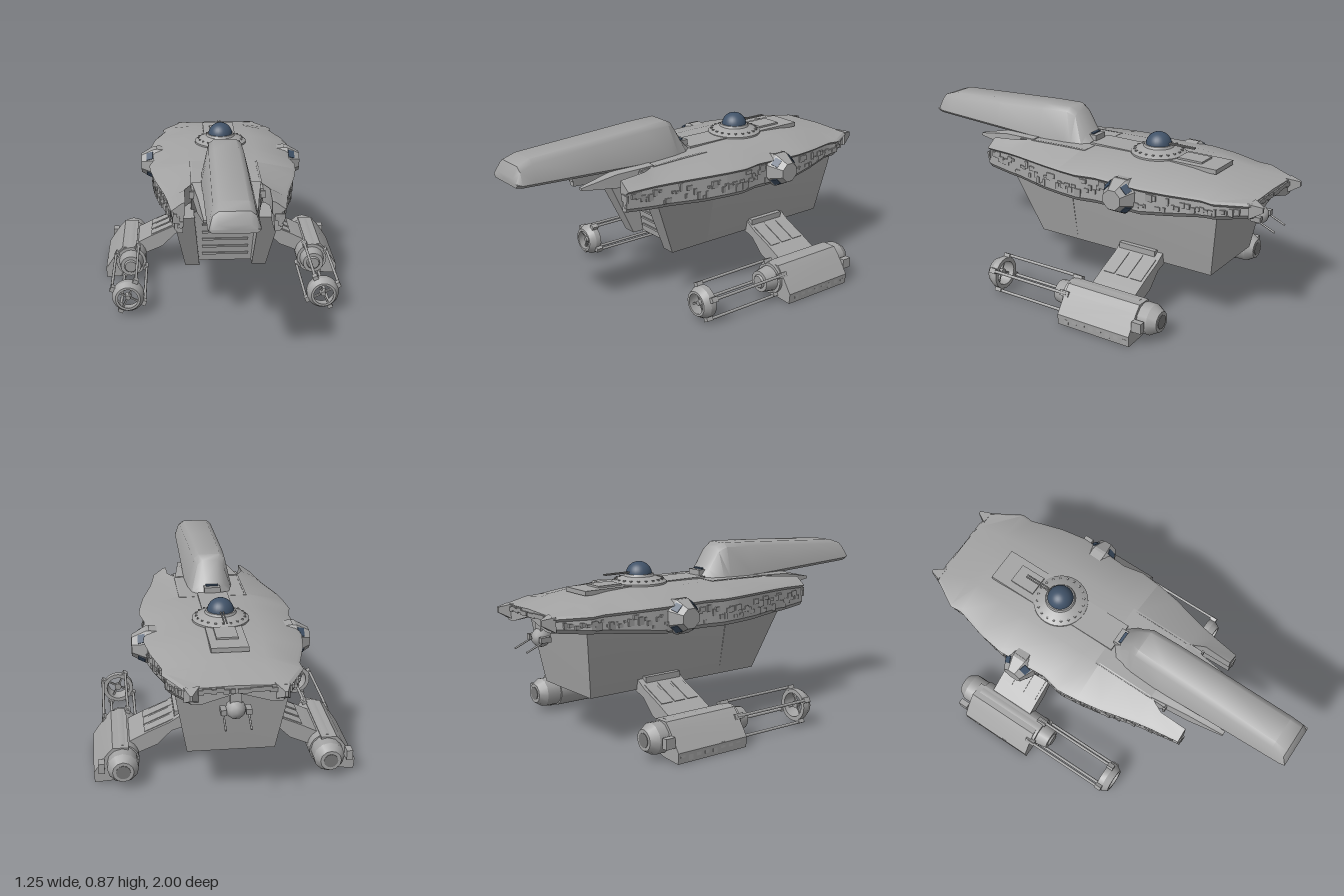
import * as THREE from 'three';
import { toCreasedNormals } from 'three/addons/utils/BufferGeometryUtils.js';

const mat = (name, color) => Object.assign(new THREE.MeshStandardMaterial({ color }), { name });

// Skin through closed rings of [x, y, z] points, capped at both ends and turned outward
function loft(rings, crease = 0.5) {
  const tris = [], n = rings[0].length;
  const mid = r => r.reduce((a, p) => a.map((v, i) => v + p[i] / n), [0, 0, 0]);
  for (let i = 0; i + 1 < rings.length; i++)
    for (let j = 0; j < n; j++) {
      const k = (j + 1) % n, a = rings[i], b = rings[i + 1];
      tris.push([a[j], a[k], b[k]], [a[j], b[k], b[j]]);
    }
  const first = rings[0], last = rings[rings.length - 1], c0 = mid(first), c1 = mid(last);
  for (let j = 0; j < n; j++) {
    const k = (j + 1) % n;
    tris.push([c0, first[k], first[j]], [c1, last[j], last[k]]);
  }
  const V = p => new THREE.Vector3(...p);
  const vol = tris.reduce((s, [a, b, c]) => s + V(a).dot(V(b).cross(V(c))), 0);
  const pos = tris.flatMap(([a, b, c]) => (vol > 0 ? [a, b, c] : [a, c, b]).flat());
  const g = new THREE.BufferGeometry();
  g.setAttribute('position', new THREE.Float32BufferAttribute(pos, 3));
  return toCreasedNormals(g, crease);
}
const prismZ = (pts, z0, z1) => loft([z0, z1].map(z => pts.map(([x, y]) => [x, y, z])));
const prismX = (pts, x0, x1) => loft([x0, x1].map(x => pts.map(([z, y]) => [x, y, z])));
// Tube, cone or drum along z between z0 and z1
const drumZ = (r0, r1, z0, z1, n = 16) =>
  new THREE.CylinderGeometry(r1, r0, z1 - z0, n).rotateX(Math.PI / 2).translate(0, 0, (z0 + z1) / 2);

// Hull stations: z, deck y, shoulder x, edge x, lip y, keel edge y
const STATIONS = [
  [-0.95, 0.65, 0.12, 0.225, 0.635, 0.57], [-0.8, 0.675, 0.14, 0.31, 0.642, 0.56],
  [-0.74, 0.685, 0.15, 0.305, 0.645, 0.555], [-0.58, 0.705, 0.16, 0.35, 0.652, 0.54],
  [-0.45, 0.712, 0.17, 0.37, 0.655, 0.525], [-0.2, 0.712, 0.17, 0.355, 0.655, 0.52],
  [-0.1, 0.71, 0.17, 0.375, 0.655, 0.52], [0, 0.707, 0.17, 0.365, 0.655, 0.52],
  [0.12, 0.705, 0.17, 0.345, 0.655, 0.52], [0.3, 0.7, 0.17, 0.3, 0.65, 0.525],
  [0.38, 0.695, 0.18, 0.285, 0.648, 0.525], [0.52, 0.682, 0.215, 0.265, 0.642, 0.535]];
const edgeAt = z => {
  const i = Math.max(1, STATIONS.findIndex(s => s[0] >= z));
  const a = STATIONS[i - 1], b = STATIONS[i], t = (z - a[0]) / (b[0] - a[0]);
  return a.map((v, k) => v + (b[k] - v) * t);
};
const halfRing = ([z, top, sh, e, lip, bot], x0) => {
  const under = Math.min(bot + 0.085, top - 0.03);
  return [
    [x0, top, z], [Math.max(sh, x0 + 0.005), top - 0.004, z], [Math.max(e - 0.015, x0 + 0.01), lip + 0.01, z],
    [e, lip, z], [e - 0.02, lip - 0.015, z], [e - 0.015, bot + 0.02, z], [e - 0.03, bot, z],
    [Math.max(e - 0.075, x0 + 0.012), bot, z], [Math.max(e - 0.085, x0 + 0.006), under, z], [x0, under, z]];
};

export function createModel() {
  const model = new THREE.Group();
  model.name = 'gunship';
  const hull = mat('hull grey', 0xa4a4a4), trim = mat('trim grey', 0x9c9c9c);
  const dark = mat('dark grey', 0x787878), blue = mat('blue glass', 0x405268);
  const add = (parent, name, geo, m = hull, x = 0, y = 0, z = 0) => {
    const mesh = new THREE.Mesh(geo, m);
    mesh.name = name;
    mesh.position.set(x, y, z);
    parent.add(mesh);
    return mesh;
  };
  const box = (parent, name, w, h, d, x, y, z, m = hull) =>
    add(parent, name, new THREE.BoxGeometry(w, h, d), m, x, y, z);
  let seed = 7;
  const rnd = () => (seed = (seed * 16807) % 2147483647) / 2147483647;

  // Main hull, and the bow roof sloping down to the cargo door
  add(model, 'mainHull', loft(STATIONS.filter(s => s[0] <= 0).map(s => {
    const h = halfRing(s, 0);
    return [...h, ...h.slice(1, -1).reverse().map(([x, y, z]) => [-x, y, z])];
  })));
  add(model, 'bowRoof', prismX([[-0.02, 0.706], [0.3, 0.699], [0.38, 0.694], [0.38, 0.65], [0.19, 0.51], [-0.02, 0.51]], -0.17, 0.17));
  box(model, 'bowLintel', 0.36, 0.035, 0.012, 0, 0.668, 0.38);
  for (let i = 0; i < 12; i++)
    box(model, 'lintelDetail', 0.01 + rnd() * 0.012, 0.012, 0.01, -0.15 + i * 0.027, 0.662 + rnd() * 0.015, 0.386, trim);

  // Belly hold with the ribbed loading door
  const quad = (y, xa, xb, za, zb) => [[xa, y, za], [xb, y, za], [xb, y, zb], [xa, y, zb]];
  add(model, 'bellyHold', loft([quad(0.24, -0.2, 0.2, -0.755, 0.16),
    quad(0.51, -0.248, 0.248, -0.795, 0.19), quad(0.63, -0.262, 0.262, -0.81, 0.03)]));
  for (let i = 0; i < 6; i++)
    box(model, 'doorRib', 0.23, 0.01, 0.012, 0, 0.28 + i * 0.04, 0.167 + i * 0.0045, trim);
  for (let i = 0; i < 5; i++)
    box(model, 'bellyPanel', 0.34, 0.006, 0.14, 0, 0.24, -0.66 + i * 0.18);

  // Boom cannon: z, bottom, top, base half width, top half width
  const boom = [[0, 0.68, 0.715, 0.06, 0.035], [0.05, 0.68, 0.76, 0.1, 0.055], [0.11, 0.68, 0.85, 0.11, 0.06],
    [0.15, 0.68, 0.87, 0.115, 0.075], [0.3, 0.685, 0.865, 0.12, 0.08], [0.58, 0.698, 0.85, 0.116, 0.082],
    [0.91, 0.713, 0.832, 0.113, 0.085], [0.975, 0.716, 0.81, 0.112, 0.088], [1, 0.722, 0.76, 0.108, 0.09]];
  add(model, 'boomCannon', loft(boom.map(([z, b, t, w, v]) => {
    const h = [[w - 0.015, b, z], [w, b + 0.015, z], [v + 0.004, t - 0.02, z], [v - 0.022, t, z]];
    return [...h, ...h.map(([x, y]) => [-x, y, z]).reverse()];
  }), 0.7));
  box(model, 'boomRearHousing', 0.08, 0.045, 0.06, 0, 0.72, 0.03);
  box(model, 'boomRearWindow', 0.06, 0.008, 0.03, 0, 0.745, 0.038, blue);

  // Dorsal turret and raised deck plates
  box(model, 'deckSpine', 0.17, 0.022, 0.42, 0, 0.704, -0.49);
  box(model, 'deckHatch', 0.1, 0.01, 0.13, 0, 0.719, -0.54);
  box(model, 'deckSpineFront', 0.15, 0.01, 0.26, 0, 0.71, -0.12);
  const collar = [[0.135, 0.7], [0.135, 0.718], [0.12, 0.728], [0.075, 0.745], [0.07, 0.756], [0, 0.756]];
  add(model, 'turretCollar', toCreasedNormals(
    new THREE.LatheGeometry(collar.map(p => new THREE.Vector2(...p)), 32), 0.5), hull, 0, 0, -0.34);
  add(model, 'turretDome', new THREE.SphereGeometry(0.064, 28, 12, 0, Math.PI * 2, 0, Math.PI / 2), blue, 0, 0.75, -0.34);
  for (const x of [-0.006, 0.006]) add(model, 'turretBarrel', drumZ(0.004, 0.004, -0.54, -0.38, 8), trim, x, 0.765, 0);
  for (let i = 0; i < 20; i++) {
    const a = i * Math.PI / 10;
    box(model, 'collarStud', 0.01, 0.008, 0.01, 0.115 * Math.cos(a), 0.73, -0.34 + 0.115 * Math.sin(a), trim);
  }

  // Tail ball turret
  add(model, 'tailTurret', new THREE.IcosahedronGeometry(0.046, 1), hull, 0, 0.512, -0.89);
  box(model, 'tailTurretMount', 0.05, 0.09, 0.05, 0, 0.585, -0.88);
  for (const x of [-0.055, 0.055]) {
    box(model, 'tailGunBlock', 0.025, 0.025, 0.05, x, 0.51, -0.9, trim);
    add(model, 'tailGunBarrel', drumZ(0.0045, 0.0045, -0.06, 0.06, 8), trim, x, 0.487, -0.94).rotation.x = -0.4;
  }

  for (const s of [1, -1]) {
    const side = new THREE.Group();
    side.name = s > 0 ? 'leftSide' : 'rightSide';
    model.add(side);
    const flip = pts => pts.map(([x, ...rest]) => [s * x, ...rest]);

    // Bow prong, cannon shoulder strip and tail horn
    const prong = STATIONS.filter(t => t[0] >= 0);
    add(side, 'bowProng', loft(prong.map(t => flip(halfRing(t, t[0] > 0.37 ? 0.2 : 0.16)))));
    add(side, 'shoulderStrip', loft([
      flip([[0.1, 0.65, 0.3], [0.17, 0.65, 0.3], [0.165, 0.702, 0.3], [0.1, 0.704, 0.3]]),
      flip([[0.1, 0.625, 0.5], [0.145, 0.625, 0.5], [0.14, 0.69, 0.5], [0.1, 0.7, 0.5]]),
      flip([[0.1, 0.645, 0.68], [0.122, 0.645, 0.68], [0.12, 0.657, 0.68], [0.1, 0.657, 0.68]])]));
    add(side, 'tailHorn', loft([
      flip([[0.16, 0.575, -0.94], [0.228, 0.575, -0.94], [0.226, 0.645, -0.94], [0.16, 0.65, -0.94]]),
      flip([[0.194, 0.61, -1], [0.206, 0.61, -1], [0.206, 0.635, -1], [0.194, 0.635, -1]])]));

    // Cheek beside the loading door
    add(side, 'doorCheek', loft([
      flip(quad(0.24, 0.13, 0.2, 0, 0.22)), flip(quad(0.54, 0.155, 0.257, 0, 0.35))]));

    // Machinery along the hull edge
    for (let i = 0; i < 64; i++) {
      const z = -0.9 + i * 0.0218 + rnd() * 0.01, [, , , e, lip, bot] = edgeAt(z);
      box(side, 'edgeMachinery', 0.016, 0.01 + rnd() * 0.028, 0.012 + rnd() * 0.025,
        s * (e - 0.02), bot + 0.03 + rnd() * (lip - bot - 0.06), z, i % 3 ? hull : trim);
    }
    for (let i = 0; i < 9; i++)
      box(side, 'bowMachinery', 0.012 + rnd() * 0.015, 0.012 + rnd() * 0.02, 0.012,
        s * (0.215 + rnd() * 0.035), 0.56 + rnd() * 0.06, 0.52, i % 2 ? trim : hull);
    for (let i = 0; i < 6; i++)
      box(side, 'rearMachinery', 0.02 + rnd() * 0.02, 0.02, 0.012, s * (0.02 + i * 0.027), 0.625 + rnd() * 0.01, -0.952, trim);

    // Side gun pod with slanted windows
    const pod = new THREE.Group();
    pod.name = 'sidePod';
    pod.position.set(s * 0.36, 0.597, -0.345);
    pod.rotation.y = s > 0 ? 0 : Math.PI;
    side.add(pod);
    const facet = (name, r0, r1, x0, x1) => add(pod, name, toCreasedNormals(
      new THREE.CylinderGeometry(r1, r0, x1 - x0, 8, 1, false, Math.PI / 8)
        .rotateZ(-Math.PI / 2).translate((x0 + x1) / 2, 0, 0), 0.3));
    facet('podRoot', 0.05, 0.088, -0.11, -0.03);
    facet('podBelt', 0.088, 0.088, -0.03, -0.005);
    facet('podNose', 0.088, 0.05, -0.005, 0.062);
    add(pod, 'podFairing', loft([
      [[-0.12, 0.07, 0.03], [-0.12, 0.07, -0.03], [-0.12, 0.03, -0.04], [-0.12, 0.03, 0.04]],
      [[-0.02, 0.084, 0.035], [-0.02, 0.084, -0.035], [-0.02, 0.03, -0.06], [-0.02, 0.03, 0.06]]]));
    for (const a of [-3, -1, 1, 3]) {
      const pane = new THREE.BoxGeometry(0.036, 0.008, 0.042).rotateZ(-0.48)
        .translate(0.016, 0.07, 0).rotateX(a * Math.PI / 4);
      add(pod, 'podWindow', pane, blue);
    }

    // Engine strut
    add(side, 'engineStrut', prismZ(flip([[0.17, 0.3], [0.21, 0.29], [0.26, 0.258], [0.37, 0.21], [0.45, 0.17],
      [0.45, 0.09], [0.38, 0.12], [0.32, 0.145], [0.25, 0.215], [0.17, 0.24]]), -0.5, -0.26));
    for (let i = 0; i < 3; i++) {
      const panel = box(side, 'strutPanel', 0.17, 0.008, 0.06, s * 0.3, 0.24, -0.455 + i * 0.075);
      panel.rotation.z = -s * 0.42;
    }
    box(side, 'strutRoot', 0.06, 0.055, 0.2, s * 0.205, 0.275, -0.37);

    // Engine: casing, drum, nozzle
    const engine = new THREE.Group();
    engine.name = 'engine';
    engine.position.set(s * 0.487, 0.098, 0);
    side.add(engine);
    add(engine, 'engineCasing', prismZ(flip([[-0.03, 0.078], [0.045, 0.078], [0.075, 0.045], [0.137, -0.045],
      [0.133, -0.096], [0.02, -0.088], [-0.02, -0.07]]), -0.575, -0.18));
    add(engine, 'engineDrum', drumZ(0.08, 0.08, -0.55, -0.165, 24));
    add(engine, 'engineNeck', drumZ(0.066, 0.054, -0.17, -0.1, 16));
    add(engine, 'neckCap', drumZ(0.036, 0.03, -0.1, -0.09, 16), trim);
    add(engine, 'rearNozzle', drumZ(0.05, 0.074, -0.665, -0.625, 12));
    add(engine, 'rearDrum', drumZ(0.074, 0.074, -0.625, -0.55, 12));
    add(engine, 'nozzleMouth', drumZ(0.034, 0.034, -0.668, -0.66, 12), dark);
    box(engine, 'casingBox', 0.03, 0.05, 0.05, s * 0.1, 0.0, -0.6);
    for (let i = 0; i < 8; i++)
      box(engine, 'casingDetail', 0.012, 0.01 + rnd() * 0.02, 0.025, s * 0.13, -0.075 + rnd() * 0.02, -0.55 + i * 0.046);

    // Front ring held on four rods, with a cross of spokes
    const ring = [[0.06, 0.24], [0.08, 0.24], [0.08, 0.27], [0.062, 0.302], [0.05, 0.302], [0.06, 0.265], [0.06, 0.24]];
    add(engine, 'frontRing', toCreasedNormals(
      new THREE.LatheGeometry(ring.map(p => new THREE.Vector2(...p)), 24).rotateX(Math.PI / 2), 0.4));
    add(engine, 'ringHub', drumZ(0.018, 0.012, 0.255, 0.29, 12), trim);
    for (let i = 0; i < 4; i++) {
      const a = 0.46 + i * Math.PI / 2, c = s * Math.cos(a), d = Math.sin(a);
      add(engine, 'engineRod', drumZ(0.0075, 0.0075, -0.19, 0.26, 8), hull, c * 0.09, d * 0.09, 0);
      box(engine, 'rodClamp', 0.022, 0.026, 0.035, c * 0.086, d * 0.086, 0.255).rotation.z = s * a;
      box(engine, 'rodFoot', 0.022, 0.026, 0.05, c * 0.084, d * 0.084, -0.18).rotation.z = s * a;
      box(engine, 'ringSpoke', 0.06, 0.008, 0.012, c * 0.032, d * 0.032, 0.272, trim).rotation.z = s * a;
    }
  }
  return model;
}
